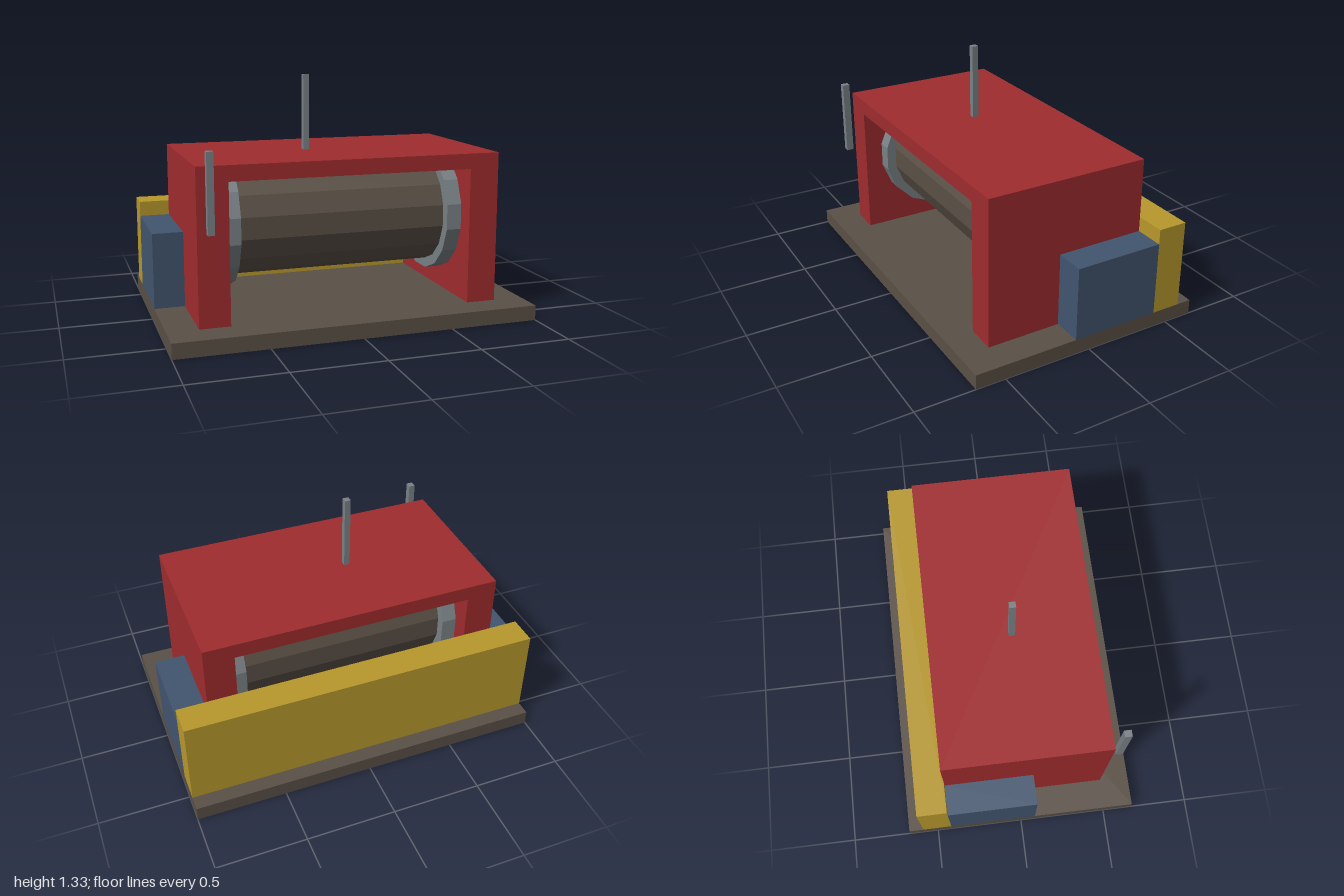
import * as THREE from 'three';

const material = (name, color) => {
  const m = new THREE.MeshStandardMaterial({ color });
  m.name = name;
  return m;
};

export function createModel() {
  const model = new THREE.Group();
  model.name = 'rollerMachine';

  const red = material('frame red', 0xa02c2e);
  const yellow = material('panel yellow', 0xb8982c);
  const blue = material('cabinet blue', 0x42556f);
  const brown = material('dark brown', 0x5a5046);
  const grey = material('steel grey', 0x7a8287);

  const add = (name, geometry, mat) => {
    const mesh = new THREE.Mesh(geometry, mat);
    mesh.name = name;
    model.add(mesh);
    return mesh;
  };

  // Box given by its min and max corners
  const box = (name, mat, [x0, y0, z0], [x1, y1, z1]) =>
    add(name, new THREE.BoxGeometry(x1 - x0, y1 - y0, z1 - z0), mat)
      .position.set((x0 + x1) / 2, (y0 + y1) / 2, (z0 + z1) / 2);

  // Faceted 16-sided drum lying along x, flat side down
  const drum = (name, mat, radius, x0, x1) => {
    const g = new THREE.CylinderGeometry(radius, radius, x1 - x0, 16, 1, false, Math.PI / 16)
      .rotateZ(Math.PI / 2).toNonIndexed();
    g.computeVertexNormals();
    add(name, g, mat).position.set((x0 + x1) / 2, 0.55, 0.042);
  };

  // Base plate and rear panel
  box('basePlate', brown, [-1, 0, -0.667], [1, 0.083, 0.667]);
  box('rearPanel', yellow, [-1, 0.083, -0.583], [1, 0.583, -0.417]);

  // Arched frame: one extruded portal
  const portal = new THREE.Shape([
    [-0.833, 0.083], [-0.667, 0.083], [-0.667, 0.833], [0.667, 0.833],
    [0.667, 0.083], [0.833, 0.083], [0.833, 0.917], [-0.833, 0.917],
  ].map(([x, y]) => new THREE.Vector2(x, y)));
  add('frame', new THREE.ExtrudeGeometry(portal, { depth: 0.917, bevelEnabled: false }), red)
    .position.z = -0.417;

  // Side cabinets
  box('leftCabinet', blue, [0.833, 0.083, -0.417], [1, 0.5, 0.083]);
  box('rightCabinet', blue, [-1, 0.083, -0.417], [-0.833, 0.5, 0.083]);

  // Roller with an end flange on each side
  drum('roller', brown, 0.3056, -0.583, 0.583);
  drum('leftFlange', grey, 0.361, 0.583, 0.667);
  drum('rightFlange', grey, 0.361, -0.667, -0.583);

  // Thin upright rods
  box('topRod', grey, [-0.145, 0.917, 0.025], [-0.112, 1.333, 0.06]);
  box('frontRod', grey, [-0.793, 0.583, 0.545], [-0.757, 1, 0.585]);

  return model;
}
